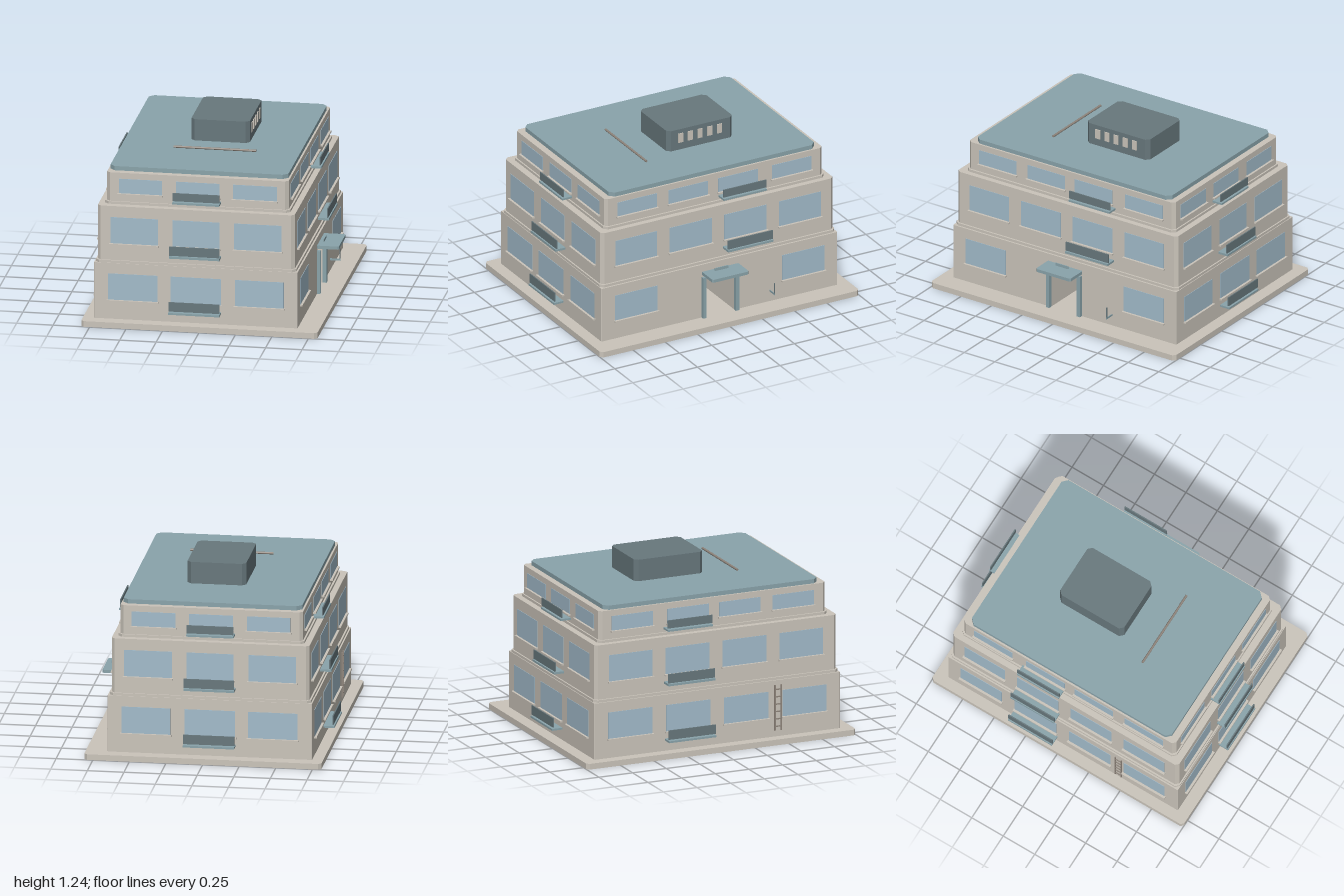
import * as THREE from 'three';

const material = (name, color) => {
  const m = new THREE.MeshStandardMaterial({ color });
  m.name = name;
  return m;
};

export function createModel() {
  const stone = material('stone', 0xcbc5bb);
  const glass = material('glass', 0xa3bccb);
  const slate = material('slateBlue', 0x8aa4ab);
  const dark = material('darkSlate', 0x68787d);
  const metal = material('brownMetal', 0x8f857c);

  const model = new THREE.Group();
  model.name = 'steppedBuilding';

  const add = (name, geometry, mat, parent = model) => {
    const mesh = new THREE.Mesh(geometry, mat);
    mesh.name = name;
    parent.add(mesh);
    return mesh;
  };

  // Box given by its limits on each axis
  const box = (name, mat, x0, x1, y0, y1, z0, z1, parent) => {
    const mesh = add(name, new THREE.BoxGeometry(x1 - x0, y1 - y0, z1 - z0), mat, parent);
    mesh.position.set((x0 + x1) / 2, (y0 + y1) / 2, (z0 + z1) / 2);
    return mesh;
  };

  // Prism with cut corners; an optional notch opens the +x side as a doorway
  const prism = (name, mat, x0, x1, y0, y1, z0, z1, c, notch) => {
    const p = [[x0 + c, z0], [x1 - c, z0], [x1, z0 + c]];
    if (notch) {
      const { half, depth } = notch;
      p.push([x1, -half], [x1 - depth, -half], [x1 - depth, half], [x1, half]);
    }
    p.push([x1, z1 - c], [x1 - c, z1], [x0 + c, z1], [x0, z1 - c], [x0, z0 + c]);
    const shape = new THREE.Shape(p.map(([x, z]) => new THREE.Vector2(x, -z)));
    const g = new THREE.ExtrudeGeometry(shape, { depth: y1 - y0, bevelEnabled: false });
    g.rotateX(-Math.PI / 2);
    g.translate(0, y0, 0);
    return add(name, g, mat);
  };

  // Box standing on a wall: u runs along the wall, a..b is the distance out from it
  const onWall = (name, mat, tier, side, u0, u1, y0, y1, a, b, parent) => {
    if (side === 'front') box(name, mat, u0, u1, y0, y1, tier.z1 + a, tier.z1 + b, parent);
    if (side === 'back') box(name, mat, u0, u1, y0, y1, tier.z0 - b, tier.z0 - a, parent);
    if (side === 'left') box(name, mat, tier.x1 + a, tier.x1 + b, y0, y1, u0, u1, parent);
    if (side === 'right') box(name, mat, tier.x0 - b, tier.x0 - a, y0, y1, u0, u1, parent);
  };

  // Plinth
  prism('plinth', stone, -0.81, 0.81, 0, 0.04, -1, 1, 0.02);

  // Storeys: wall limits, window rows, balcony heights and widths
  const tiers = [
    { name: 'ground', x0: -0.735, x1: 0.661, z0: -0.912, z1: 0.914, win: [0.176, 0.361],
      ends: [[-0.637, -0.298], [-0.21, 0.137], [0.233, 0.567]],
      sides: [[-0.81, -0.483], [-0.38, -0.05], [0.05, 0.38], [0.483, 0.81]],
      slab: [0.113, 0.126], rail: [0.135, 0.2], bx: [-0.213, 0.137], bz: [-0.39, -0.04] },
    { name: 'middle', x0: -0.713, x1: 0.637, z0: -0.897, z1: 0.9, win: [0.572, 0.757],
      ends: [[-0.624, -0.298], [-0.198, 0.124], [0.224, 0.55]],
      sides: [[-0.794, -0.472], [-0.375, -0.048], [0.048, 0.375], [0.472, 0.794]],
      slab: [0.507, 0.522], rail: [0.526, 0.59], bx: [-0.21, 0.135], bz: [-0.386, -0.038] },
    { name: 'upper', x0: -0.66, x1: 0.586, z0: -0.842, z1: 0.842, win: [0.911, 1.013],
      ends: [[-0.576, -0.28], [-0.185, 0.115], [0.207, 0.507]],
      sides: [[-0.75, -0.445], [-0.338, -0.03], [0.048, 0.354], [0.445, 0.75]],
      slab: [0.874, 0.887], rail: [0.896, 0.952], bx: [-0.198, 0.124], bz: [-0.365, -0.032] },
  ];
  const [t1, t2, t3] = tiers;
  const doorTop = 0.335;
  prism('groundStoreyWall', stone, t1.x0, t1.x1, 0.04, doorTop, t1.z0, t1.z1, 0.004, { half: 0.114, depth: 0.5 });
  prism('groundStoreyTop', stone, t1.x0, t1.x1, doorTop, 0.435, t1.z0, t1.z1, 0.004);
  prism('middleStorey', stone, t2.x0, t2.x1, 0.435, 0.835, t2.z0, t2.z1, 0.022);
  prism('upperStorey', stone, t3.x0, t3.x1, 0.835, 1.055, t3.z0, t3.z1, 0.022);

  // Low ledges at the foot of the set-back storeys
  for (const [t, y] of [[t2, 0.435], [t3, 0.835]])
    prism(t.name + 'Ledge', stone, t.x0 - 0.012, t.x1 + 0.012, y, y + 0.018, t.z0 - 0.01, t.z1 + 0.01, 0.025);

  // Windows with sills and one balcony on each wall
  for (const t of tiers) {
    for (const side of ['front', 'back', 'left', 'right']) {
      const group = new THREE.Group();
      group.name = `${t.name}${side[0].toUpperCase()}${side.slice(1)}Openings`;
      model.add(group);
      const alongX = side === 'front' || side === 'back';
      const doorWall = t === t1 && side === 'left';
      let spans = alongX ? t.ends : t.sides;
      if (doorWall) spans = [spans[0], spans[3]];
      for (const [u0, u1] of spans) {
        onWall('window', glass, t, side, u0, u1, t.win[0], t.win[1], -0.002, 0.003, group);
        onWall('sill', stone, t, side, u0 - 0.008, u1 + 0.008, t.win[0] - 0.011, t.win[0], -0.002, 0.019, group);
      }
      if (doorWall) continue;
      const [b0, b1] = alongX ? t.bx : t.bz;
      onWall('balconySlab', slate, t, side, b0, b1, t.slab[0], t.slab[1], -0.002, 0.076, group);
      onWall('balconyRail', dark, t, side, b0, b1, t.rail[0], t.rail[1], 0.062, 0.07, group);
    }
  }

  // Small bracket beside the entrance
  box('bracketArm', slate, 0.66, 0.733, 0.113, 0.126, -0.39, -0.385);
  box('bracketPost', dark, 0.724, 0.73, 0.126, 0.2, -0.39, -0.385);

  // Entrance: posts, lintel, canopy and its upright crest
  for (const s of [-1, 1])
    box('entrancePost', slate, 0.655, 0.684, 0.04, doorTop + 0.008, s < 0 ? -0.139 : 0.113, s < 0 ? -0.113 : 0.139);
  box('entranceLintel', stone, 0.655, 0.694, doorTop + 0.008, 0.36, -0.115, 0.115);
  box('entranceCrest', slate, 0.688, 0.695, 0.38, 0.402, -0.05, 0.053);
  prism('entranceCanopy', slate, 0.655, 0.81, 0.36, 0.382, -0.145, 0.137, 0.01);

  // Wall ladder
  const ladder = new THREE.Group();
  ladder.name = 'ladder';
  model.add(ladder);
  for (const z of [0.42, 0.467])
    box('ladderRail', metal, -0.75, -0.742, 0.085, 0.405, z, z + 0.008, ladder);
  for (let i = 0; i < 6; i++) {
    const y = 0.11 + i * 0.052;
    box('ladderRung', metal, -0.749, -0.743, y, y + 0.008, 0.42, 0.475, ladder);
  }

  // Roof slab, plant room with vents, and roof pipe
  prism('roof', slate, -0.647, 0.573, 1.055, 1.085, -0.797, 0.793, 0.034);
  prism('plantRoom', dark, -0.202, 0.198, 1.085, 1.236, -0.366, 0.143, 0.026);
  for (let i = 0; i < 5; i++) {
    const z = 0.045 - i * 0.075;
    box('vent', stone, 0.195, 0.204, 1.138, 1.206, z - 0.019, z + 0.019);
  }
  const pipe = add('roofPipe', new THREE.CylinderGeometry(0.008, 0.008, 0.567, 12), metal);
  pipe.rotation.z = Math.PI / 2;
  pipe.position.set(-0.002, 1.103, 0.355);

  return model;
}
